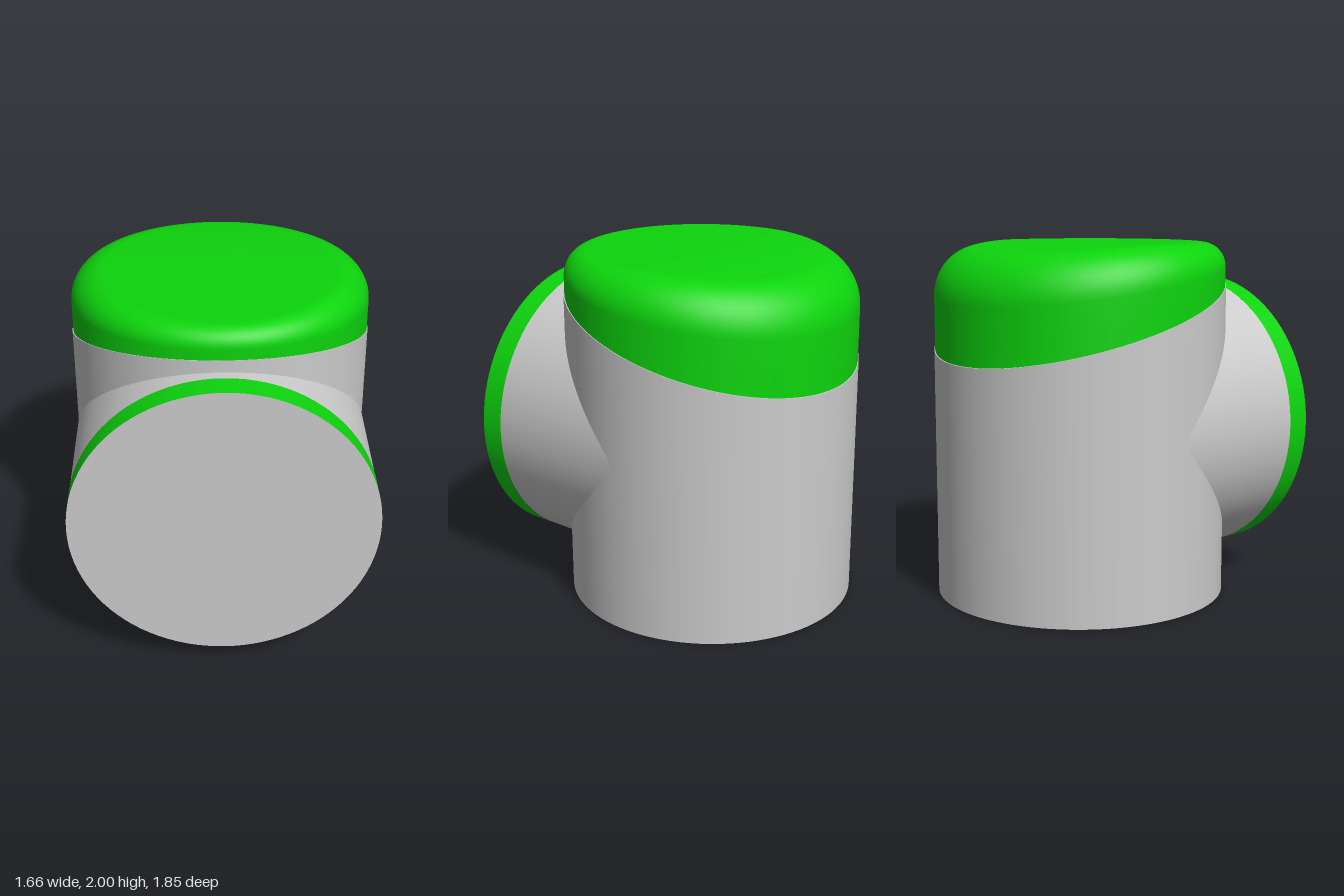
import * as THREE from 'three';

const R = 0.827;        // body radius
const CZ = -0.1;        // body axis offset in z
const HY = 0.95;        // height of the front outlet axis
const SEG = 96;

const grey = new THREE.MeshStandardMaterial({ color: 0xcccccc });
const green = new THREE.MeshStandardMaterial({ color: 0x0dd40d });

// Height of the slanted joint between body and cap
const jointY = (z) => 1.631 + 0.293 * z;

function add(group, name, geometry, material) {
  const mesh = new THREE.Mesh(geometry, material);
  mesh.name = name;
  group.add(mesh);
  return mesh;
}

// Upright cylinder whose top is cut by the slanted joint plane
function bodyGeometry() {
  const geo = new THREE.CylinderGeometry(R, R, 1, SEG, 1);
  geo.translate(0, 0.5, CZ);
  const p = geo.attributes.position;
  for (let i = 0; i < p.count; i++) {
    if (p.getY(i) > 0.5) p.setY(i, jointY(p.getZ(i)));
  }
  return geo;
}

// Horizontal cylinder whose inner end follows the curved body wall
function neckGeometry() {
  const r = 0.826;
  const geo = new THREE.CylinderGeometry(r, r, 1, SEG, 1, true);
  geo.rotateX(Math.PI / 2);
  const p = geo.attributes.position;
  for (let i = 0; i < p.count; i++) {
    const x = p.getX(i);
    const wall = CZ + Math.sqrt(Math.max(0, R * R - x * x)) - 0.005;
    p.setZ(i, p.getZ(i) > 0 ? 0.79 : wall);
  }
  geo.translate(0, HY, 0);
  return geo;
}

// Cap with an edge rounding that grows from the front to the back
function capGeometry() {
  const r = 0.822, flat = 10, arc = 12, wall = 2;
  const rows = flat + arc + wall;
  const pos = [], idx = [];
  for (let j = 0; j <= rows; j++) {
    for (let i = 0; i < SEG; i++) {
      const a = (i / SEG) * Math.PI * 2;
      const f = (1 - Math.cos(a)) / 2;              // 0 front, 1 back
      const w = 0.11 + 0.15 * f + 0.04 * f * (1 - f);
      const h = 0.1 + 0.18 * f + 0.04 * f * (1 - f);
      const sag = 0.04 * Math.max(0, -Math.cos(a)) ** 1.5;
      const dip = (rho) => sag * Math.max(0, (rho - 0.05) / 0.53) ** 1.5;
      let rho, y;
      if (j <= flat) {
        rho = (r - w) * j / flat;
        y = 2 - dip(rho);
      } else {
        const t = Math.min(1, (j - flat) / arc) * Math.PI / 2;
        rho = r - w + w * Math.sin(t);
        y = 2 - dip(r - w) - h * (1 - Math.cos(t));
        const k = Math.max(0, j - flat - arc) / wall;
        y += (jointY(CZ + r * Math.cos(a)) - y) * k;
      }
      pos.push(rho * Math.sin(a), y, CZ + rho * Math.cos(a));
      if (j < rows) {
        const n = (i + 1) % SEG;
        const A = j * SEG + i, B = j * SEG + n, C = A + SEG, D = B + SEG;
        if (j > 0) idx.push(A, C, B);
        idx.push(B, C, D);
      }
    }
  }
  const geo = new THREE.BufferGeometry();
  geo.setAttribute('position', new THREE.Float32BufferAttribute(pos, 3));
  geo.setIndex(idx);
  geo.computeVertexNormals();
  // The centre points all face straight up
  for (let i = 0; i < SEG; i++) geo.attributes.normal.setXYZ(i, 0, 1, 0);
  return geo;
}

export function createModel() {
  const model = new THREE.Group();
  model.name = 'elbowHousing';

  add(model, 'body', bodyGeometry(), grey);
  add(model, 'cap', capGeometry(), green);
  add(model, 'neck', neckGeometry(), grey);

  // Coloured collar and plain face on the front outlet
  const collar = new THREE.CylinderGeometry(0.828, 0.828, 0.14, SEG, 1, true);
  collar.rotateX(Math.PI / 2);
  add(model, 'collar', collar, green).position.set(0, HY, 0.857);
  add(model, 'frontFace', new THREE.CircleGeometry(0.828, SEG), grey).position.set(0, HY, 0.927);

  return model;
}
